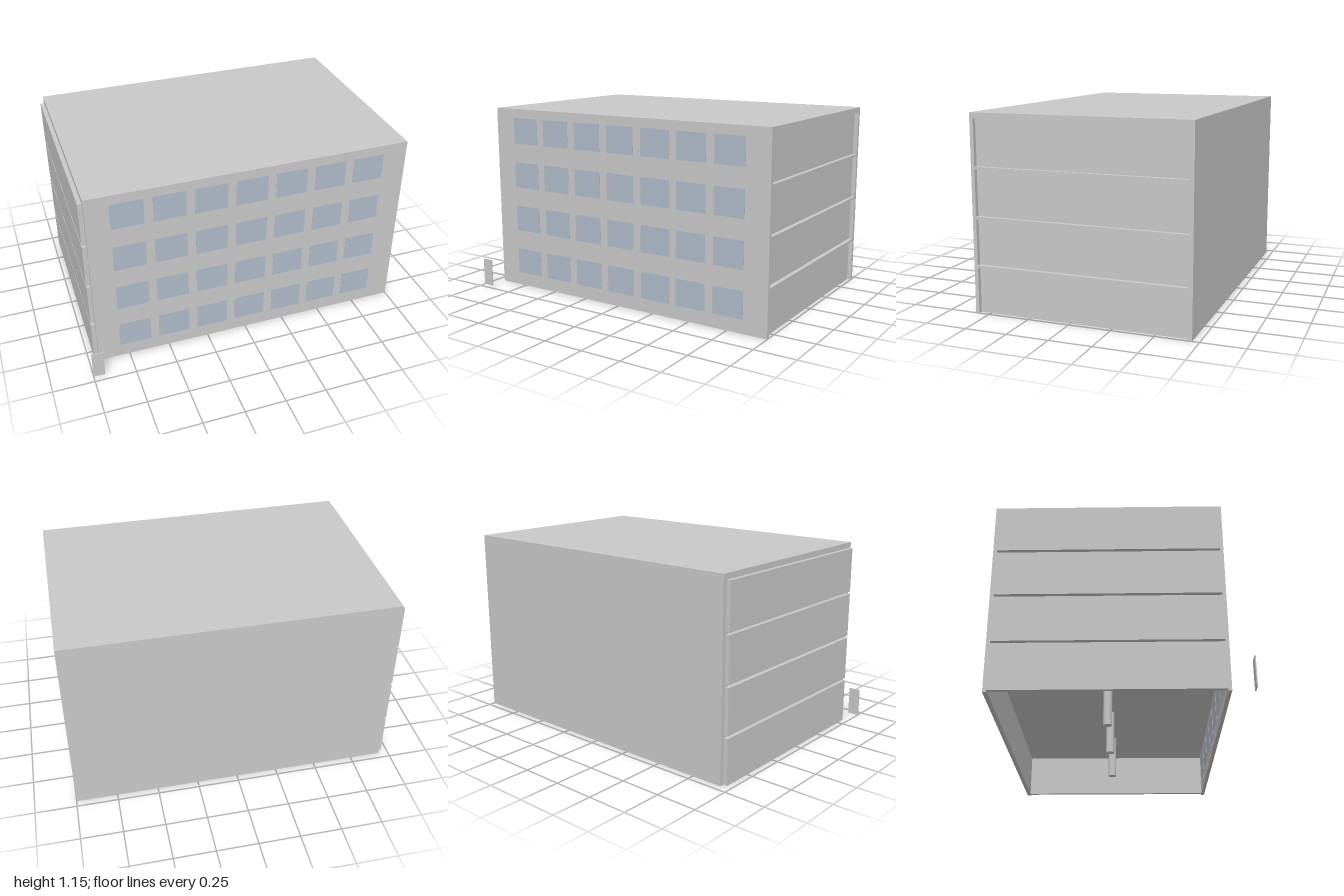
import * as THREE from 'three';

export function createModel() {
  const group = new THREE.Group();
  const concrete = new THREE.MeshStandardMaterial({ color: 0xc8c8c8 });
  concrete.name = 'grey concrete';
  const glass = new THREE.MeshStandardMaterial({ color: 0xaebbc9 });
  glass.name = 'pale blue glass';

  // Box given by its lower and upper limits on each axis
  function box(name, [x0, x1], [y0, y1], [z0, z1], material = concrete) {
    const mesh = new THREE.Mesh(new THREE.BoxGeometry(x1 - x0, y1 - y0, z1 - z0), material);
    mesh.position.set((x0 + x1) / 2, (y0 + y1) / 2, (z0 + z1) / 2);
    mesh.name = name;
    group.add(mesh);
  }

  const length = [-0.94, 1];
  const inner = [-0.685, 0.563];
  const floorHeight = 0.284;
  const roomHeight = 0.269;
  const top = 1.155;

  // Long walls
  box('frontWall', length, [0, top], [inner[1], 0.585]);
  box('backWall', length, [0, top], [-0.71, inner[0]]);

  for (let floor = 0; floor < 4; floor++) {
    const y = floor * floorHeight;
    const ceiling = y + roomHeight;

    // Slab above the room, thicker for the roof
    const roof = floor === 3;
    box(roof ? 'roof' : 'floorSlab', length, [ceiling, roof ? top : y + floorHeight], inner);

    // End panels: recessed on the left, standing proud on the right
    box('leftEndPanel', [0.95, 0.975], [y, ceiling], inner);
    box('rightEndPanel', [-0.965, -0.94], [y, ceiling], inner);

    // Row of columns along the middle of the room
    for (let i = -1; i <= 1; i++) {
      const column = new THREE.Mesh(new THREE.CylinderGeometry(0.026, 0.026, roomHeight, 12), concrete);
      column.position.set(0.04 + i * 0.485, y + roomHeight / 2, -0.075);
      column.name = 'column';
      group.add(column);
    }

    // Window panes on both faces of the front wall
    for (let i = 0; i < 7; i++) {
      const x = -0.802 + i * 0.2433;
      const across = [x, x + 0.192];
      const up = [y + 0.083, y + 0.247];
      box('window', across, up, [0.584, 0.5865], glass);
      box('windowInside', across, up, [0.5615, 0.564], glass);
    }
  }

  // Free-standing panel in front of the building
  box('standingPanel', [-1, -0.93], [0, 0.172], [0.703, 0.709]);

  return group;
}
